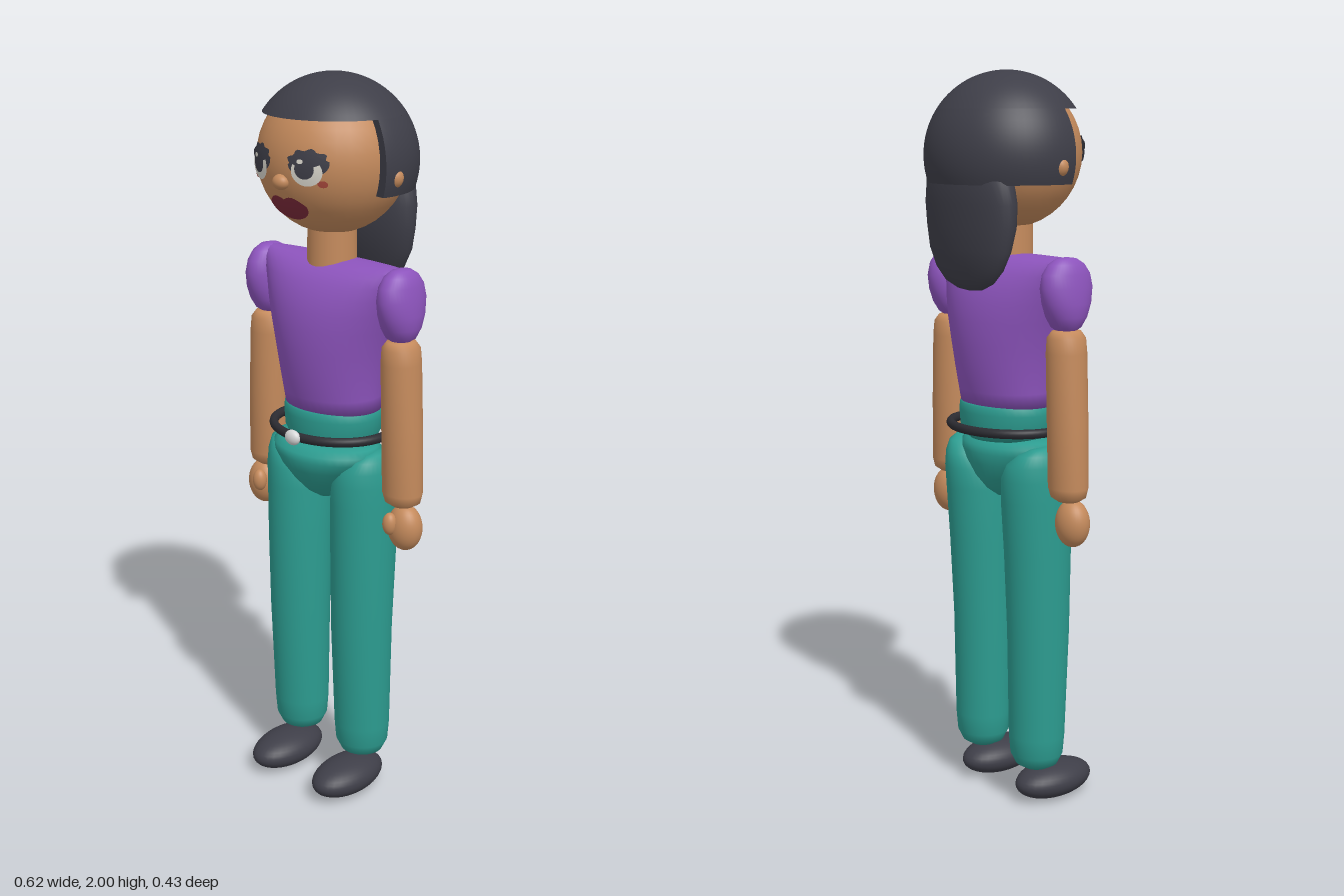
import * as THREE from 'three';
import { mergeVertices } from 'three/addons/utils/BufferGeometryUtils.js';

const mat = (name, color, side = THREE.FrontSide) => {
  const m = new THREE.MeshStandardMaterial({ color, side });
  m.name = name;
  return m;
};

export function createModel() {
  const root = new THREE.Group();
  root.name = 'standingFigure';
  const skin = mat('skin', 0xc48a5c);
  const dark = mat('charcoal', 0x3e3e48, THREE.DoubleSide);
  const purple = mat('purple', 0x8d54bd);
  const teal = mat('teal', 0x2c9c90);
  const black = mat('beltBlack', 0x2c2c32);
  const silver = mat('silver', 0xd6d6d6);
  const white = mat('eyeWhite', 0xd9d6cc);
  const red = mat('lipRed', 0x7c2a3a);
  const blush = mat('blush', 0xa8483c);

  const add = (name, geo, m, x = 0, y = 0, z = 0) => {
    const mesh = new THREE.Mesh(geo, m);
    mesh.name = name;
    mesh.position.set(x, y, z);
    root.add(mesh);
    return mesh;
  };

  const ball = (name, m, x, y, z, rx, ry, rz) => {
    const mesh = add(name, new THREE.SphereGeometry(1, 32, 20), m, x, y, z);
    mesh.scale.set(rx, ry, rz);
    return mesh;
  };

  // Elliptical loft; each row is [y, rx, rz, cx, cz], listed upwards
  const loft = (name, m, rows) => {
    const g = new THREE.LatheGeometry(rows.map(r => new THREE.Vector2(1, r[0])), 40);
    const p = g.attributes.position;
    for (let i = 0; i < p.count; i++) {
      const [, rx, rz, cx = 0, cz = 0] = rows[i % rows.length];
      p.setX(i, p.getX(i) * rx + cx);
      p.setZ(i, p.getZ(i) * rz + cz);
    }
    g.deleteAttribute('uv');
    g.deleteAttribute('normal');
    const merged = mergeVertices(g, 1e-5);
    merged.computeVertexNormals();
    return add(name, merged, m);
  };

  // Head, neck, nose
  const headY = 1.787, headR = 0.198;
  ball('head', skin, 0, headY, 0, headR, headR, headR);
  add('neck', new THREE.CylinderGeometry(0.064, 0.066, 0.14, 32), skin, 0, 1.57, 0.005);
  ball('nose', skin, 0, 1.745, 0.194, 0.024, 0.02, 0.02);

  // Hair: crown cap plus a band round the back, both cut from one ellipsoid
  const hair = new THREE.Group();
  hair.name = 'hair';
  hair.position.set(0, 1.78, -0.003);
  hair.scale.set(0.225, 0.22, 0.215);
  root.add(hair);
  const cut = 0.545, low = -0.32;
  const arc = (a, b, n) => Array.from({ length: n + 1 }, (_, i) => {
    const t = THREE.MathUtils.lerp(Math.asin(a), Math.asin(b), i / n);
    return new THREE.Vector2(Math.cos(t), Math.sin(t));
  });
  const addHair = (name, geo) => {
    const mesh = new THREE.Mesh(geo, dark);
    mesh.name = name;
    hair.add(mesh);
  };
  const p0 = THREE.MathUtils.degToRad(77), pl = THREE.MathUtils.degToRad(206);
  addHair('hairCrown', new THREE.LatheGeometry(arc(cut, 1, 14), 56));
  addHair('hairBack', new THREE.LatheGeometry(arc(low, cut, 12), 40, p0, pl));
  addHair('hairFringeUnderside', new THREE.CircleGeometry(Math.sqrt(1 - cut * cut), 56)
    .rotateX(Math.PI / 2).translate(0, cut, 0));
  addHair('hairLowerEdge', new THREE.LatheGeometry(
    [new THREE.Vector2(0.8, low), arc(low, cut, 1)[0]], 40, p0, pl));
  for (const phi of [p0, p0 + pl]) {
    const s = new THREE.Shape([new THREE.Vector2(0.8, low), ...arc(low, cut, 12), new THREE.Vector2(0.68, cut)]);
    addHair('hairSideEdge', new THREE.ShapeGeometry(s).rotateY(phi - Math.PI / 2));
  }

  // Long hair hanging behind
  loft('hairTail', dark, [
    [1.43, 0, 0, 0, -0.125], [1.436, 0.05, 0.014, 0, -0.127], [1.455, 0.095, 0.028, 0, -0.13],
    [1.49, 0.13, 0.042, 0, -0.13], [1.54, 0.155, 0.056, 0, -0.128], [1.6, 0.167, 0.066, 0, -0.124],
    [1.66, 0.17, 0.07, 0, -0.125], [1.72, 0.16, 0.068, 0, -0.128], [1.78, 0.13, 0.055, 0, -0.13],
    [1.82, 0, 0, 0, -0.13]]);

  // Facial details: outlines wrapped just above the head's surface
  const patch = (name, m, cx, cy, lift, outline) => {
    const g = new THREE.RingGeometry(0, 1, 40, 4);
    const p = g.attributes.position;
    for (let i = 0; i < p.count; i++) {
      const r = Math.hypot(p.getX(i), p.getY(i));
      const [ox, oy] = outline(Math.atan2(p.getY(i), p.getX(i)));
      const x = cx + ox * r, y = cy + oy * r, R = headR + lift;
      p.setXYZ(i, x, y, Math.sqrt(Math.max(0, R * R - x * x - (y - headY) ** 2)));
    }
    g.computeVertexNormals();
    return add(name, g, m, 0, 0, 0);
  };
  const oval = (a, b) => t => [a * Math.cos(t), b * Math.sin(t)];
  // Upper lid with a few scalloped lashes
  const lash = t => {
    const k = 1 + (Math.sin(t) > 0 ? 0.1 * Math.cos(t * 9) : 0);
    return [0.05 * k * Math.cos(t), 0.034 * k * Math.sin(t)];
  };
  for (const s of [1, -1]) {
    patch('eyelashes', dark, s * 0.08, 1.798, 0.005, lash);
    patch('eyeWhite', white, s * 0.08, 1.778, 0.008, oval(0.038, 0.036));
    patch('eyelid', dark, s * 0.08, 1.806, 0.0095, oval(0.04, 0.016));
    patch('iris', dark, s * 0.078, 1.785, 0.011, oval(0.024, 0.025));
    patch('eyeGlint', white, s * 0.078 - 0.009, 1.804, 0.013, oval(0.008, 0.006));
    patch('cheekMark', blush, s * 0.114, 1.748, 0.005, oval(0.011, 0.009));
    ball('ear', skin, s * 0.203, 1.755, 0, 0.028, 0.028, 0.024);
  }
  // Lips with a dipped upper edge
  patch('lips', red, 0, 1.674, 0.006, t => {
    const c = Math.cos(t), v = Math.sin(t);
    return [0.062 * c, v > 0 ? 0.025 * v * (0.72 + 0.4 * Math.sin(Math.abs(c) * Math.PI)) + 0.008 : 0.03 * v + 0.008 * (1 + v)];
  });

  // Shirt
  loft('shirt', purple, [
    [1.12, 0, 0], [1.121, 0.143, 0.112], [1.16, 0.145, 0.122], [1.22, 0.152, 0.134],
    [1.29, 0.165, 0.142], [1.35, 0.182, 0.143], [1.4, 0.198, 0.137], [1.44, 0.212, 0.125],
    [1.475, 0.226, 0.107], [1.5, 0.238, 0.085], [1.515, 0.245, 0.06], [1.523, 0.245, 0.035], [1.526, 0.22, 0]]);

  // Trousers: waistband and pelvis
  loft('waistband', teal, [
    [1.025, 0, 0], [1.026, 0.105, 0.1], [1.04, 0.128, 0.113], [1.06, 0.14, 0.119],
    [1.1, 0.145, 0.12], [1.12, 0.143, 0.118], [1.127, 0.135, 0.11], [1.128, 0, 0]]);
  loft('pelvis', teal, [
    [0.857, 0, 0, 0, 0.01], [0.863, 0.025, 0.04, 0, 0.01], [0.885, 0.055, 0.073, 0, 0.012],
    [0.92, 0.093, 0.102, 0, 0.015], [0.96, 0.135, 0.12, 0, 0.02], [0.99, 0.16, 0.125, 0, 0.022],
    [1.01, 0.167, 0.12, 0, 0.022], [1.025, 0.155, 0.1, 0, 0.02], [1.032, 0.12, 0.07, 0, 0.02], [1.034, 0, 0, 0, 0.02]]);

  // Belt and buckle
  const belt = add('belt', new THREE.TorusGeometry(1, 0.075, 12, 64).rotateX(Math.PI / 2), black, 0, 1.06, 0.003);
  belt.scale.set(0.172, 0.17, 0.146);
  ball('buckle', silver, 0, 1.06, 0.16, 0.025, 0.021, 0.015);

  // Limbs, mirrored
  for (const s of [1, -1]) {
    const side = rows => rows.map(([y, rx, rz, cx, cz = 0]) => [y, rx, rz, cx * s, cz]);
    loft('puffSleeve', purple, side([
      [1.333, 0, 0, 0.235], [1.336, 0.022, 0.022, 0.235], [1.348, 0.04, 0.04, 0.235], [1.375, 0.05, 0.058, 0.236],
      [1.41, 0.053, 0.072, 0.236], [1.45, 0.05, 0.08, 0.235], [1.485, 0.045, 0.073, 0.234],
      [1.51, 0.036, 0.054, 0.234], [1.524, 0.022, 0.03, 0.234], [1.528, 0, 0, 0.234]]));
    loft('arm', skin, side([
      [0.885, 0, 0, 0.249], [0.888, 0.03, 0.027, 0.249], [0.9, 0.05, 0.044, 0.249], [0.925, 0.057, 0.05, 0.248],
      [1.1, 0.056, 0.053, 0.244], [1.28, 0.053, 0.055, 0.238], [1.32, 0.05, 0.052, 0.237],
      [1.338, 0.036, 0.04, 0.237], [1.345, 0, 0, 0.237]]));
    ball('hand', skin, s * 0.262, 0.829, 0.004, 0.05, 0.064, 0.043);
    ball('thumb', skin, s * 0.243, 0.845, 0.044, 0.02, 0.031, 0.02);
    loft('trouserLeg', teal, side([
      [0.098, 0, 0, 0.117, 0.008], [0.102, 0.035, 0.035, 0.117, 0.008], [0.116, 0.06, 0.058, 0.117, 0.008],
      [0.145, 0.074, 0.072, 0.117, 0.008], [0.2, 0.078, 0.077, 0.117, 0.008], [0.5, 0.084, 0.086, 0.117, 0.012],
      [0.72, 0.087, 0.094, 0.118, 0.008], [0.87, 0.088, 0.101, 0.118, 0.003], [0.93, 0.085, 0.103, 0.121, 0.001],
      [0.97, 0.072, 0.095, 0.131, 0], [1.0, 0.048, 0.075, 0.148, 0], [1.015, 0.025, 0.045, 0.158, 0],
      [1.02, 0, 0, 0.16, 0]]));
    ball('shoe', dark, s * 0.118, 0.05, 0.07, 0.074, 0.05, 0.125);
  }
  return root;
}
